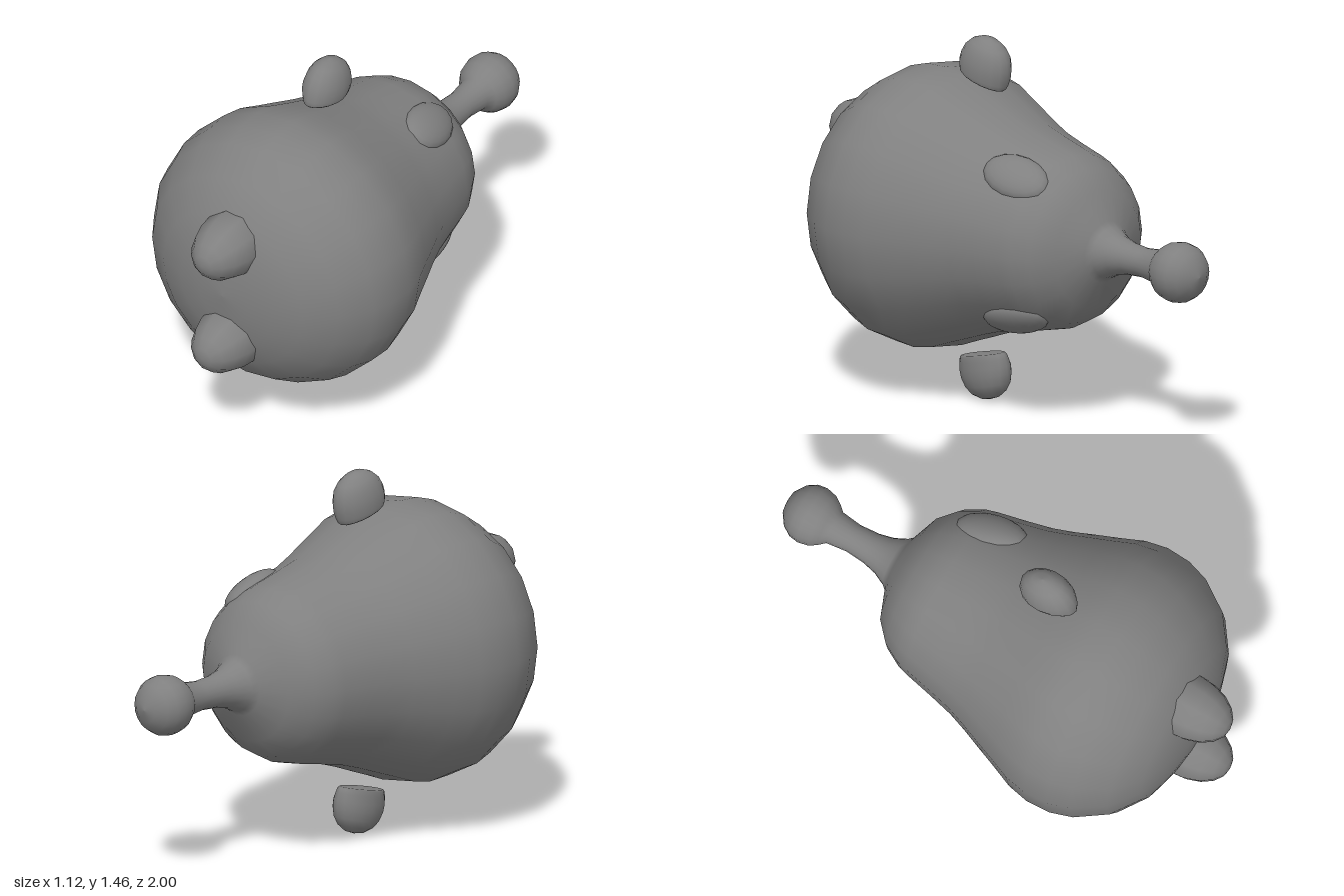
import * as THREE from 'three';

const AXIS_Y = 0.735;
const material = new THREE.MeshStandardMaterial({ color: 0x808080 });

function add(parent, name, geometry) {
  const mesh = new THREE.Mesh(geometry, material);
  mesh.name = name;
  parent.add(mesh);
  return mesh;
}

// Turned shape about the z axis; profile is [z, radius] from back to front
function turned(profile, segments) {
  const points = profile.map(([z, r]) => new THREE.Vector2(r, z));
  return new THREE.LatheGeometry(points, segments).rotateX(Math.PI / 2);
}

// Small egg-like dome with a flat base, narrowing sideways towards the base
function domeGeometry() {
  const profile = [[0, 0], [0.9, 0], [0.96, 0.006], [0.99, 0.025], [1, 0.055], [0.97, 0.085], [0.87, 0.122], [0.67, 0.152], [0.36, 0.174], [0, 0.181]];
  const geometry = new THREE.LatheGeometry(profile.map(([r, y]) => new THREE.Vector2(r, y)), 16);
  const pos = geometry.attributes.position;
  const normal = geometry.attributes.normal;
  for (let i = 0; i < pos.count; i++) {
    const y = pos.getY(i);
    const drop = Math.max(0, 1 - y / 0.085);
    const width = 0.083 * (1 - 0.3 * drop * drop);
    pos.setXYZ(i, pos.getX(i) * width, y, pos.getZ(i) * 0.122);
    // Keep the shading smooth: the lathe normal is scaled inversely
    const n = new THREE.Vector3(normal.getX(i) / width, normal.getY(i), normal.getZ(i) / 0.122).normalize();
    normal.setXYZ(i, n.x, n.y, n.z);
  }
  return geometry;
}

export function createModel() {
  const model = new THREE.Group();
  model.name = 'model';
  const core = new THREE.Group();
  core.name = 'core';
  core.position.y = AXIS_Y;
  model.add(core);

  // Pear-shaped body that flows into a flared tail with a round knob
  add(core, 'bodyAndTail', turned([
    [-1, 0], [-0.99, 0.05], [-0.96, 0.092], [-0.925, 0.114], [-0.885, 0.12], [-0.84, 0.11],
    [-0.81, 0.09], [-0.785, 0.068], [-0.7, 0.058], [-0.62, 0.064], [-0.56, 0.078], [-0.51, 0.102],
    [-0.487, 0.122], [-0.44, 0.235], [-0.37, 0.31], [-0.3, 0.348], [-0.25, 0.362],
    [-0.13, 0.388], [-0.03, 0.412], [0.05, 0.44], [0.13, 0.472], [0.22, 0.507], [0.31, 0.544],
    [0.4, 0.562], [0.5, 0.557], [0.59, 0.529], [0.71, 0.45], [0.795, 0.335], [0.832, 0.225],
    [0.855, 0.12], [0.863, 0],
  ], 20));

  for (const side of [1, -1]) {
    const label = side > 0 ? 'upper' : 'lower';

    // Bulging eyes on the front
    const eye = new THREE.SphereGeometry(1, 10, 10).rotateX(Math.PI / 2).scale(0.132, 0.132, 0.2);
    add(core, label + 'Eye', eye).position.set(0, side * 0.222, 0.8);

    // Floating domes above and below, mirrored by a half turn about z
    const mount = new THREE.Group();
    mount.name = label + 'DomeMount';
    mount.rotation.z = side > 0 ? 0 : Math.PI;
    core.add(mount);
    const dome = add(mount, label + 'Dome', domeGeometry());
    dome.position.set(0, 0.553, 0.193);
    dome.rotation.x = -0.23;

    // Oval pads sunk into the left flank
    const padMount = new THREE.Group();
    padMount.name = label + 'PadMount';
    padMount.rotation.z = side > 0 ? -0.637 : -(Math.PI - 0.637);
    core.add(padMount);
    const pad = add(padMount, label + 'Pad', new THREE.SphereGeometry(1, 16, 12).scale(0.096, 0.055, 0.148));
    pad.position.set(0, 0.35, -0.2);
    pad.rotation.x = -0.25;
  }
  return model;
}
